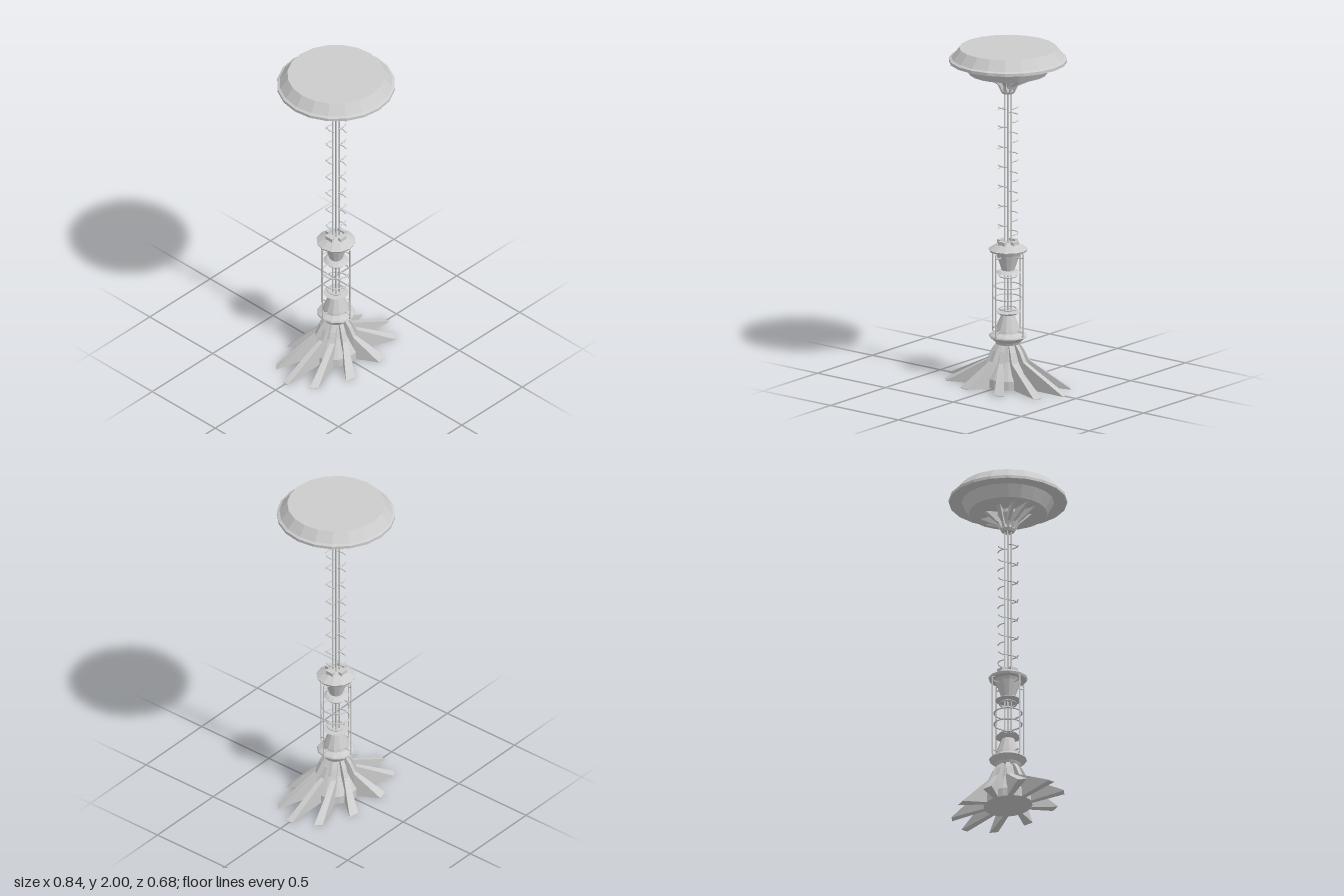
import * as THREE from 'three';

const material = new THREE.MeshStandardMaterial({ color: 0xcccccc, flatShading: true, side: THREE.DoubleSide });

function add(parent, name, geometry, x = 0, y = 0, z = 0) {
  const mesh = new THREE.Mesh(geometry, material);
  mesh.name = name;
  mesh.position.set(x, y, z);
  parent.add(mesh);
  return mesh;
}

const lathe = (points, sides) =>
  new THREE.LatheGeometry(points.map(([r, y]) => new THREE.Vector2(r, y)), sides);

// Thin vertical rod between two heights
function rod(parent, name, x, z, radius, y0, y1) {
  add(parent, name, new THREE.CylinderGeometry(radius, radius, y1 - y0, 6), x, (y0 + y1) / 2, z);
}

// Wedge-shaped leg on an elliptical plan; stations are [rx, rz, y, half angle]
function legGeometry(angle) {
  const stations = [
    [0.05, 0.05, 0.25, 0.2], [0.068, 0.068, 0.245, 0.18], [0.095, 0.09, 0.21, 0.15],
    [0.125, 0.115, 0.15, 0.12], [0.42, 0.255, 0.003, 0.08],
  ];
  const corners = stations.map(([rx, rz, y, da]) => {
    const at = (a, h) => [rx * Math.cos(a), h, rz * Math.sin(a)];
    return [at(angle - da, y), at(angle + da, y), at(angle + da, 0), at(angle - da, 0)];
  });
  const positions = [];
  const quad = (a, b, c, d) => positions.push(...a, ...b, ...c, ...a, ...c, ...d);
  for (let i = 0; i < corners.length - 1; i++) {
    const [a, b, c, d] = corners[i];
    const [e, f, g, h] = corners[i + 1];
    quad(a, b, f, e);
    quad(b, c, g, f);
    quad(c, d, h, g);
    quad(d, a, e, h);
  }
  quad(...corners[corners.length - 1]);
  const geometry = new THREE.BufferGeometry();
  geometry.setAttribute('position', new THREE.Float32BufferAttribute(positions, 3));
  geometry.computeVertexNormals();
  return geometry;
}

// Ten splayed legs around a low drum and cone
function splayedFoot(name) {
  const foot = new THREE.Group();
  foot.name = name;
  const core = add(foot, 'footCore',
    lathe([[0, 0], [0.155, 0], [0.155, 0.05], [0.09, 0.15], [0.055, 0.25], [0, 0.25]], 20));
  core.scale.z = 0.85;
  for (let i = 0; i < 10; i++) add(foot, 'leg', legGeometry(i * Math.PI / 5));
  return foot;
}

// Rounded loop clamping a guide rod to the hub, standing in the radial plane
function clampLoop(parent, angle, y) {
  const points = [];
  for (let i = 0; i < 12; i++) {
    const a = (i / 12) * Math.PI * 2;
    const r = 0.08 + Math.sign(Math.cos(a)) * 0.018 + Math.cos(a) * 0.014;
    points.push(new THREE.Vector3(r, Math.sin(a) * 0.015, 0));
  }
  const loop = add(parent, 'clampLoop',
    new THREE.TubeGeometry(new THREE.CatmullRomCurve3(points, true), 24, 0.004, 5, true), 0, y, 0);
  loop.rotation.y = angle;
}

export function createModel() {
  const model = new THREE.Group();
  model.name = 'pedestalStool';

  // Base and the inverted half-size bracket under the seat
  model.add(splayedFoot('base'));
  const bracket = splayedFoot('seatBracket');
  bracket.scale.setScalar(0.5);
  bracket.rotation.x = Math.PI;
  bracket.position.y = 1.855;
  model.add(bracket);
  add(model, 'bracketCollar', lathe([[0, 1.73], [0.035, 1.73], [0.045, 1.745], [0.04, 1.765], [0, 1.765]], 12));

  // Seat
  add(model, 'seat', lathe([
    [0, 1.85], [0.225, 1.85], [0.265, 1.918], [0.34, 1.918], [0.34, 1.935],
    [0.325, 1.942], [0.28, 2], [0, 2],
  ], 20));

  // Lower hub
  add(model, 'lowerHub', lathe([
    [0, 0.245], [0.07, 0.245], [0.078, 0.26], [0.11, 0.288], [0.106, 0.297], [0.076, 0.315],
    [0.072, 0.33], [0.038, 0.418], [0.055, 0.42], [0.074, 0.432], [0.04, 0.434], [0, 0.434],
  ], 12));

  // Upper hub with crown tabs
  add(model, 'upperHub', lathe([
    [0, 0.665], [0.074, 0.665], [0.055, 0.677], [0.037, 0.68], [0.07, 0.775], [0.078, 0.79],
    [0.108, 0.793], [0.114, 0.805], [0.062, 0.836], [0.035, 0.845], [0, 0.845],
  ], 12));
  for (let i = 0; i < 4; i++) {
    const a = i * Math.PI / 2;
    const tab = add(model, 'crownTab', new THREE.BoxGeometry(0.022, 0.035, 0.05),
      0.05 * Math.cos(a), 0.838, -0.05 * Math.sin(a));
    tab.rotation.y = a;
  }

  // Centre shaft of four rods
  for (const x of [-0.014, 0.014])
    for (const z of [-0.014, 0.014]) rod(model, 'shaftRod', x, z, 0.0045, 0.4, 1.75);

  // Guide rods and their clamps
  for (let i = 0; i < 4; i++) {
    const a = i * Math.PI / 2;
    rod(model, 'guideRod', 0.112 * Math.cos(a), -0.112 * Math.sin(a), 0.004, 0.3, 0.79);
    clampLoop(model, a, 0.31);
    clampLoop(model, a, 0.778);
  }

  // Rings between the hubs
  for (const [y, r] of [[0.45, 0.05], [0.515, 0.08], [0.585, 0.08], [0.645, 0.05]])
    add(model, 'cageRing', new THREE.TorusGeometry(r, 0.0045, 5, 24), 0, y, 0).rotation.x = Math.PI / 2;

  // Stepped spring: four short level arcs per turn
  const arc = new THREE.TorusGeometry(0.058, 0.0035, 5, 6, 1.15);
  arc.rotateZ(-0.575);
  arc.rotateX(Math.PI / 2);
  for (let k = -2; k <= 26; k++) {
    const y = THREE.MathUtils.clamp(0.925 + k * 0.0293, 0.9, 1.65);
    add(model, 'springArc', arc, 0, y, 0).rotation.y = Math.PI + k * Math.PI / 2;
  }

  return model;
}
